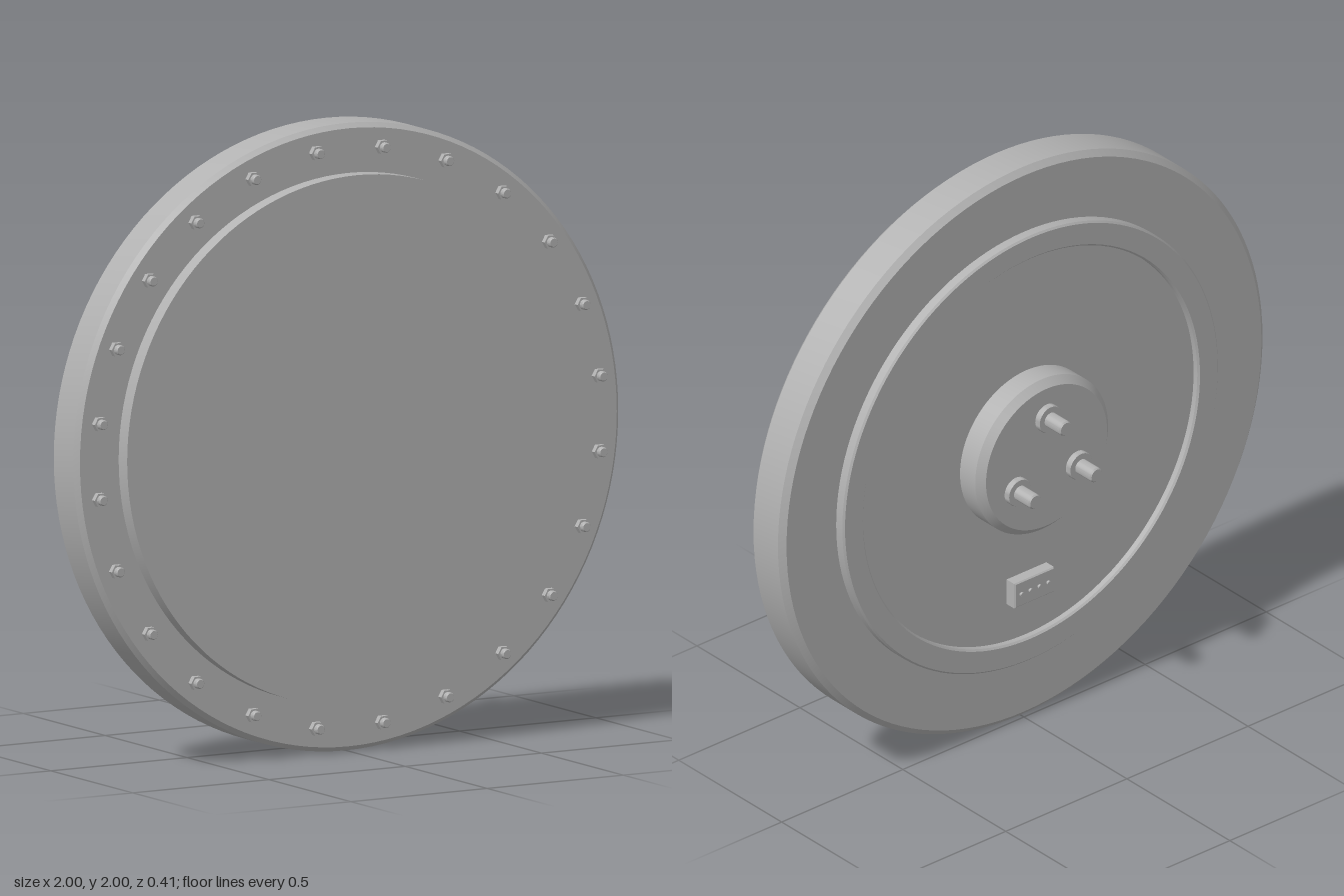
import * as THREE from 'three';
import { toCreasedNormals } from 'three/addons/utils/BufferGeometryUtils.js';

const steel = new THREE.MeshStandardMaterial({ color: 0xb2b2b2 });
steel.name = 'grey steel';

// Solid of revolution about the z axis; profile is [radius, z], from back to front
function turned(name, profile, segments = 128) {
  const points = profile.map(([r, z]) => new THREE.Vector2(r, z));
  const geometry = new THREE.LatheGeometry(points, segments);
  geometry.rotateX(Math.PI / 2);
  const mesh = new THREE.Mesh(toCreasedNormals(geometry, 0.4), steel);
  mesh.name = name;
  return mesh;
}

export function createModel() {
  const model = new THREE.Group();
  model.name = 'flangedDisc';
  const body = new THREE.Group();
  body.name = 'body';
  body.position.y = 1;
  model.add(body);

  // Main disc with chamfered rims
  body.add(turned('mainDisc', [
    [0, 0], [0.98, 0], [1, 0.018], [1, 0.137], [0.985, 0.153], [0, 0.153],
  ]));

  // Raised front face
  body.add(turned('frontFace', [[0, 0.15], [0.843, 0.15], [0.843, 0.205], [0, 0.205]]));

  // Back plate with a raised rim around a shallow recess
  body.add(turned('backPlate', [
    [0, -0.012], [0.69, -0.012], [0.69, -0.03], [0.696, -0.036],
    [0.769, -0.036], [0.775, -0.03], [0.775, 0.002],
  ]));

  // Central hub
  body.add(turned('hub', [[0, -0.11], [0.25, -0.11], [0.274, -0.086], [0.274, -0.01]], 96));

  // Three terminal posts on collars
  for (let i = 0; i < 3; i++) {
    const angle = Math.PI / 2 + (i * Math.PI * 2) / 3;
    const post = turned('terminalPost', [
      [0, -0.205], [0.021, -0.205], [0.025, -0.2], [0.025, -0.13],
      [0.045, -0.13], [0.047, -0.127], [0.047, -0.105],
    ], 32);
    post.position.set(0.146 * Math.cos(angle), 0.146 * Math.sin(angle), 0);
    body.add(post);
  }

  // Ring of hexagonal nuts with stud ends
  for (let i = 0; i < 24; i++) {
    const angle = ((i + 0.5) * Math.PI) / 12;
    const bolt = new THREE.Group();
    bolt.name = 'rimBolt';
    const nut = turned('nut', [[0.024, 0.15], [0.024, 0.171], [0, 0.171]], 6);
    nut.rotation.z = Math.PI / 6;
    bolt.add(nut);
    bolt.add(turned('stud', [[0.016, 0.165], [0.016, 0.184], [0.013, 0.188], [0, 0.188]], 20));
    bolt.position.set(0.925 * Math.cos(angle), 0.925 * Math.sin(angle), 0);
    body.add(bolt);
  }

  // Socket block with four small pins
  const connector = new THREE.Group();
  connector.name = 'connector';
  connector.position.set(0, -0.505, 0);
  const w = 0.082, h = 0.045;
  const outline = new THREE.Shape([
    [-w, -h], [w, -h], [w, h], [-w, h],
  ].map(([x, y]) => new THREE.Vector2(x * 0.95, y * 0.91)));
  const blockGeometry = new THREE.ExtrudeGeometry(outline, {
    depth: 0.038, bevelThickness: 0.004, bevelSize: 0.004, bevelSegments: 1,
  });
  blockGeometry.translate(0, 0, -0.048);
  const block = new THREE.Mesh(blockGeometry, steel);
  block.name = 'connectorBlock';
  connector.add(block);
  for (let i = 0; i < 4; i++) {
    const pin = turned('connectorPin', [[0, -0.06], [0.007, -0.06], [0.007, -0.05]], 16);
    pin.position.x = (i - 1.5) * 0.037;
    connector.add(pin);
  }
  body.add(connector);

  return model;
}
